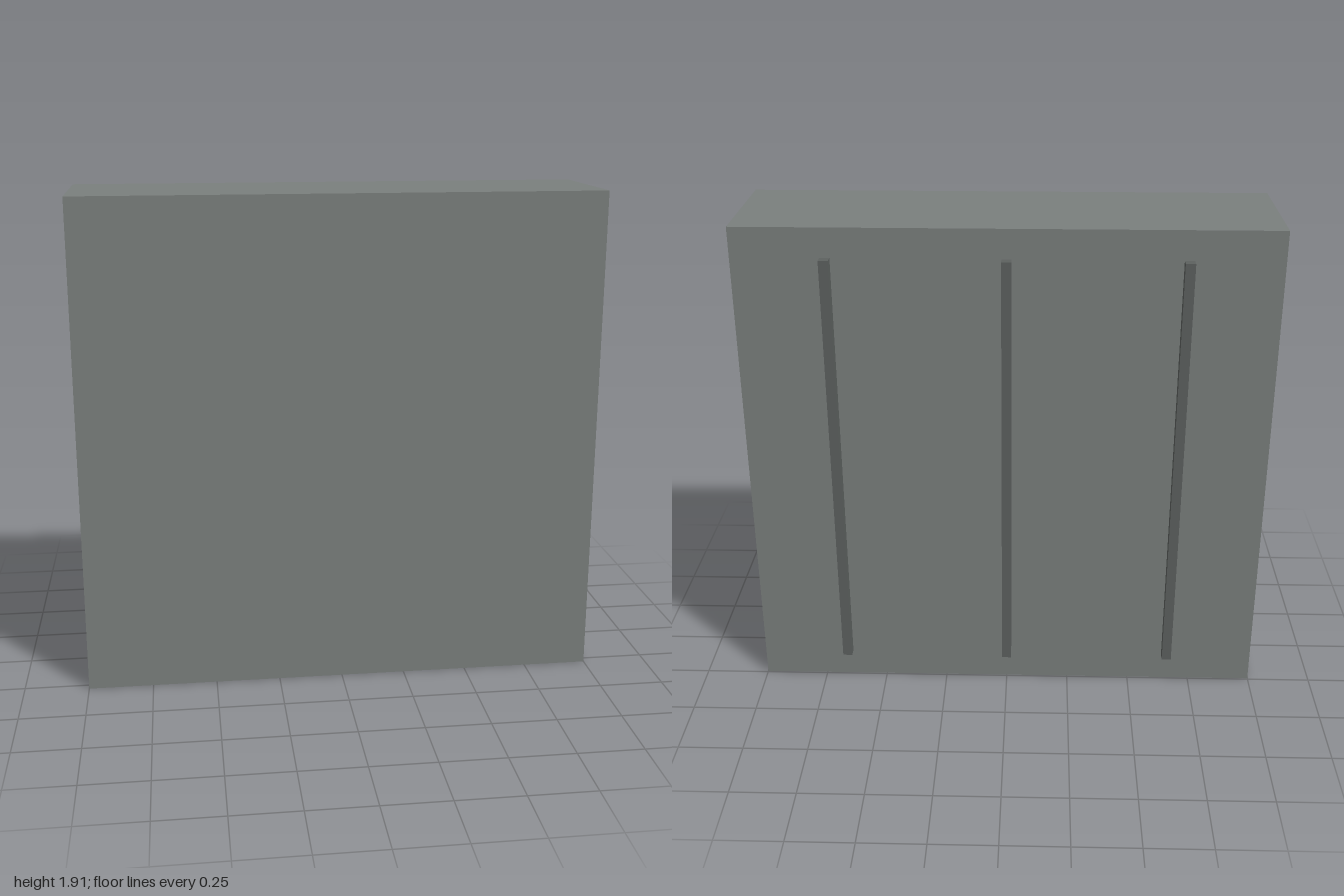
import * as THREE from 'three';

export function createModel() {
  const group = new THREE.Group();
  const bodyMaterial = new THREE.MeshStandardMaterial({ color: 0x7a7f7d });
  const ribMaterial = new THREE.MeshStandardMaterial({ color: 0x5d615f });

  function addBox(name, material, [w, h, d], [x, y, z]) {
    const mesh = new THREE.Mesh(new THREE.BoxGeometry(w, h, d), material);
    mesh.name = name;
    mesh.position.set(x, y, z);
    group.add(mesh);
  }

  // Solid slab
  const height = 1.91, front = 0.281, back = -0.244;
  addBox('panelBody', bodyMaterial, [2, height, front - back], [0, height / 2, (front + back) / 2]);

  // Three upright ribs on the back face
  const ribDepth = 0.037;
  ['rightRib', 'middleRib', 'leftRib'].forEach((name, i) => {
    addBox(name, ribMaterial, [0.037, 1.685, ribDepth], [(i - 1) * 0.655, height / 2, back - ribDepth / 2]);
  });

  return group;
}
